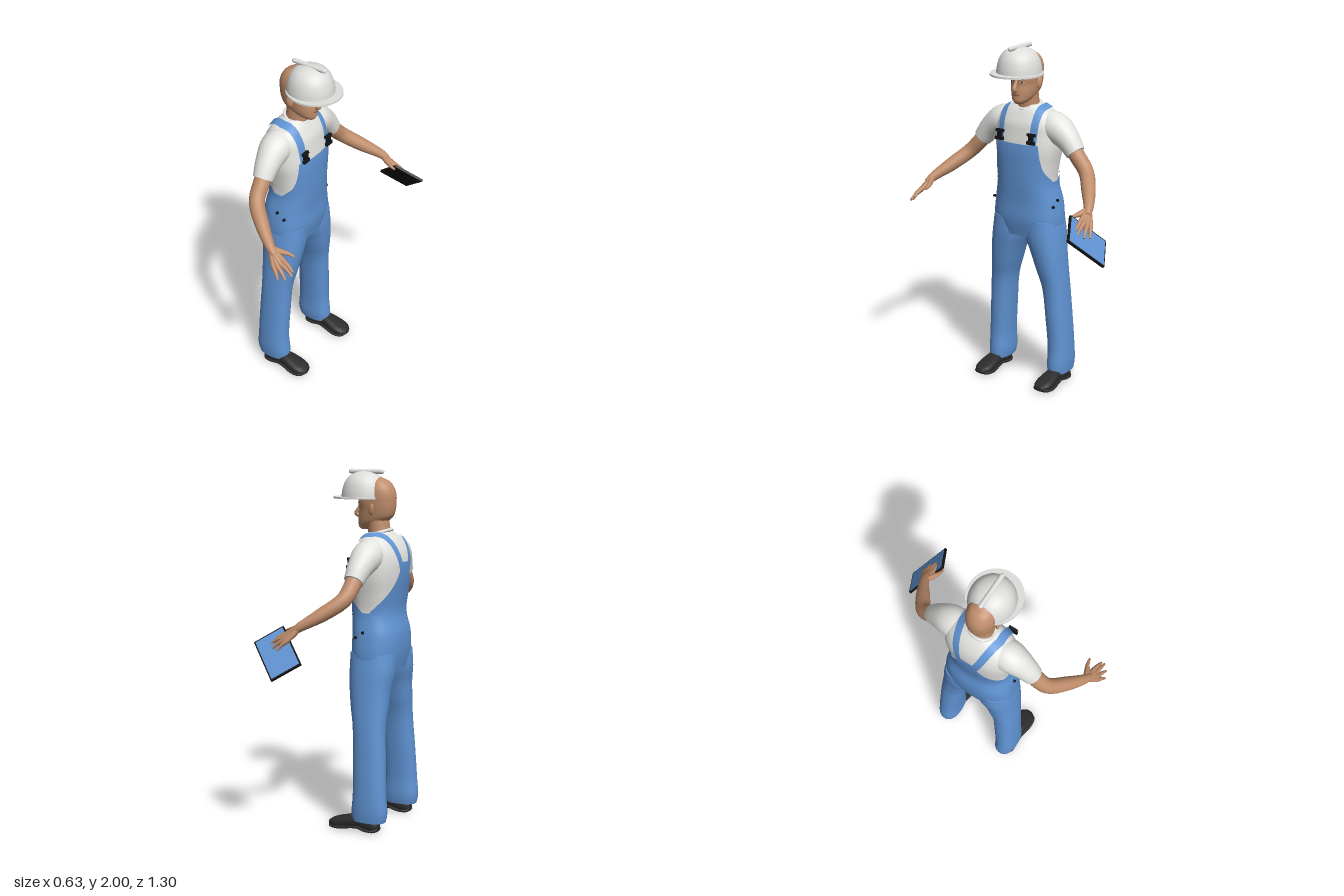
import * as THREE from 'three';

const mat = (name, color) => Object.assign(new THREE.MeshStandardMaterial({ color }), { name });
const V = (x, y, z) => new THREE.Vector3(x, y, z);

// Surface through rows of points; optional closed rings and flat end caps
function skin(rows, closed = true, caps = true) {
  const pos = [], idx = [], n = rows[0].length;
  rows.forEach(r => r.forEach(p => pos.push(p.x, p.y, p.z)));
  for (let i = 0; i < rows.length - 1; i++)
    for (let j = 0; j < (closed ? n : n - 1); j++) {
      const k = (j + 1) % n, a = i * n + j, b = i * n + k;
      idx.push(a, b, b + n, a, b + n, a + n);
    }
  if (closed && caps) [rows[0], rows[rows.length - 1]].forEach((r, e) => {
    const c = pos.length / 3, m = r.reduce((s, p) => s.add(p), V(0, 0, 0)).divideScalar(n);
    [m, ...r].forEach(p => pos.push(p.x, p.y, p.z));
    for (let j = 0; j < n; j++) {
      const a = c + 1 + j, b = c + 1 + (j + 1) % n;
      e ? idx.push(c, a, b) : idx.push(c, b, a);
    }
  });
  const g = new THREE.BufferGeometry();
  g.setAttribute('position', new THREE.Float32BufferAttribute(pos, 3));
  g.setIndex(idx);
  g.computeVertexNormals();
  return g;
}

// Superellipse corner value
const sup = (c, e) => Math.sign(c) * Math.abs(c) ** (2 / e);

// Smoothly resample a table whose first column ascends
function sample(rows, n, from = rows[0][0], to = rows[rows.length - 1][0]) {
  const w = rows[0].length - 1;
  const it = new THREE.CubicInterpolant(rows.map(r => r[0]), rows.flatMap(r => r.slice(1)), w, new Float32Array(w));
  return Array.from({ length: n + 1 }, (_, i) => {
    const t = from + (to - from) * i / n;
    return [t, ...it.evaluate(t)];
  });
}

// Upright body from rows [y, back x, front x, half width, centre z]
const upright = (rows, exp, off = 0, seg = 40) => skin(rows.map(([y, b, f, w, zc = 0]) =>
  Array.from({ length: seg }, (_, j) => {
    const a = j / seg * Math.PI * 2;
    return V((b + f) / 2 + sup(Math.sin(a), exp) * ((f - b) / 2 + off), y, zc + sup(Math.cos(a), exp) * (w + off));
  })));

// Round limb through points [x, y, z, radius]
function limb(pts, n = 16, seg = 18) {
  const curve = new THREE.CatmullRomCurve3(pts.map(p => V(p[0], p[1], p[2])));
  const radii = sample(pts.map((p, i) => [i, p[3]]), n);
  return skin(radii.map(([, r], i) => {
    const t = i / n, c = curve.getPoint(t), d = curve.getTangent(t);
    const u = V(1, 0, 0.3).cross(d).normalize(), v = d.clone().cross(u);
    return Array.from({ length: seg }, (_, j) => {
      const a = j / seg * Math.PI * 2;
      return c.clone().addScaledVector(u, Math.cos(a) * r).addScaledVector(v, Math.sin(a) * r);
    });
  }));
}

// Thin patch laid on a surface: aim(u, v) gives [target, outward direction]
function drape(targets, nu, nv, off, aim) {
  const ray = new THREE.Raycaster();
  return skin(Array.from({ length: nv + 1 }, (_, i) => Array.from({ length: nu + 1 }, (_, j) => {
    const [c, d] = aim(j / nu, i / nv);
    ray.set(c.clone().addScaledVector(d, 0.8), d.clone().negate());
    const hit = ray.intersectObjects(targets, false)[0];
    return (hit ? hit.point : c.clone()).addScaledVector(d, off);
  })), false);
}

export function createModel() {
  const root = new THREE.Group(), man = new THREE.Group();
  root.name = 'worker'; man.name = 'body'; man.position.z = 0.04;
  root.add(man);
  const M = {
    skin: mat('skin', 0xbf8d6b), shirt: mat('shirt white', 0xe4e4e1), blue: mat('denim blue', 0x6094d4),
    helmet: mat('helmet white', 0xdededc), shoe: mat('shoe black', 0x2c2c2c), black: mat('black', 0x141414),
    lip: mat('lips', 0x9a6350), eye: mat('eye white', 0xd8d2c8), brow: mat('brow brown', 0x4a3428),
  };
  M.helmet.side = THREE.DoubleSide;
  const add = (name, geo, m, parent = man) => {
    const o = new THREE.Mesh(geo, m);
    o.name = name;
    parent.add(o);
    return o;
  };

  // Torso: shirt above, overalls below
  const torso = [
    [0.9, -0.29, -0.06, 0.2], [1.0, -0.305, -0.042, 0.205], [1.1, -0.305, -0.042, 0.195], [1.22, -0.283, -0.035, 0.173],
    [1.32, -0.293, -0.032, 0.182], [1.42, -0.305, -0.032, 0.198], [1.5, -0.307, -0.042, 0.2], [1.56, -0.294, -0.052, 0.195],
    [1.6, -0.275, -0.07, 0.175], [1.63, -0.254, -0.085, 0.137], [1.66, -0.225, -0.11, 0.078]];
  const shirt = add('shirt', upright(sample(torso, 40, 1.15), 2.5), M.shirt);
  add('overallsWaist', upright(sample(torso, 24, 0.9, 1.225), 2.5, 0.007), M.blue);

  // Legs, shoes, sleeves, arms and hands on both sides
  const leg = [[0.06, 0.267, 0.15, -0.298, -0.1], [0.1, 0.272, 0.143, -0.307, -0.097], [0.2, 0.272, 0.143, -0.3, -0.105],
    [0.4, 0.262, 0.128, -0.29, -0.1], [0.6, 0.25, 0.105, -0.28, -0.09], [0.7, 0.24, 0.075, -0.285, -0.07],
    [0.8, 0.232, 0.043, -0.29, -0.055], [0.9, 0.222, 0.005, -0.305, -0.045], [1.0, 0.207, 0, -0.303, -0.045]];
  // Shoe rows: [x, half width, top, sole underside]
  const shoe = [[-0.262, 0.022, 0.05, 0.008], [-0.245, 0.04, 0.07, 0], [-0.2, 0.046, 0.085, 0], [-0.14, 0.044, 0.09, 0.012],
    [-0.09, 0.05, 0.084, 0.008], [-0.04, 0.057, 0.07, 0], [0, 0.055, 0.058, 0], [0.03, 0.04, 0.045, 0.004], [0.043, 0.015, 0.032, 0.012]];
  const wrist = [0.05, 1.185, 0.53];
  // Fingers: [knuckle, tip]
  const fingers = {
    indexFinger: [[0.135, 1.14, 0.535], [0.205, 1.1, 0.545]], middleFinger: [[0.13, 1.13, 0.552], [0.212, 1.087, 0.562]],
    ringFinger: [[0.12, 1.12, 0.567], [0.187, 1.068, 0.588]], littleFinger: [[0.105, 1.112, 0.578], [0.15, 1.06, 0.604]],
  };
  const sleeves = [];
  for (const s of [1, -1]) {
    const side = s > 0 ? 'right' : 'left';
    const flip = pts => pts.map(([x, y, z, r]) => [x, y, z * s, r]);
    add(side + 'TrouserLeg', upright(sample(leg, 36).map(([y, o, i, b, f]) =>
      [y, b, f, (o - i) / 2, s * (o + i) / 2]), 2.3, 0, 30), M.blue);
    const shoeRings = (rows, wide, bottom, top) => skin(rows.map(r => Array.from({ length: 24 }, (_, j) => {
      const a = j / 24 * Math.PI * 2, lo = bottom(r), hi = top(r);
      return V(r[0], (lo + hi) / 2 + sup(Math.cos(a), 2.6) * (hi - lo) / 2, s * 0.212 + sup(Math.sin(a), 2.6) * r[1] * wide);
    })));
    const rows = sample(shoe, 24);
    add(side + 'Shoe', shoeRings(rows, 0.95, r => r[3] + 0.006, r => r[2]), M.shoe);
    add(side + 'Sole', shoeRings(rows, 1.06, r => Math.max(r[3], 0), r => r[3] + 0.024), M.shoe);
    sleeves.push(add(side + 'Sleeve', limb(flip([[-0.175, 1.55, 0.1, 0.08], [-0.172, 1.535, 0.18, 0.087],
      [-0.165, 1.48, 0.26, 0.069], [-0.158, 1.415, 0.315, 0.055]]), 16, 24), M.shirt));
    add(side + 'Arm', limb(flip([[-0.165, 1.47, 0.265, 0.046], [-0.158, 1.4, 0.325, 0.046], [-0.14, 1.325, 0.395, 0.043],
      [-0.05, 1.25, 0.468, 0.039], [...wrist, 0.026], [0.085, 1.16, 0.542, 0.021]]), 24), M.skin);
    for (const [name, [k, t]] of Object.entries(fingers)) {
      const mid = k.map((c, i) => (c + t[i]) / 2 + (i === 1 ? 0.006 : 0));
      add(side + name, limb(flip([[...wrist, 0.018], [...k, 0.014], [...mid, 0.0105], [...t, 0.006]]), 12, 10), M.skin);
    }
    add(side + 'Thumb', limb(flip([[...wrist, 0.017], [0.1, 1.168, 0.51, 0.016], [0.135, 1.16, 0.493, 0.011],
      [0.172, 1.15, 0.485, 0.006]]), 12, 10), M.skin);
    // Hip buttons
    for (const [x, y] of [[-0.155, 1.12], [-0.11, 1.09]]) {
      const b = add(side + 'HipButton', new THREE.CylinderGeometry(0.008, 0.008, 0.012, 12), M.black);
      b.rotation.x = Math.PI / 2;
      b.position.set(x, y, s * 0.202);
    }
  }

  // Bib and back panel: rows [y, half angle]
  const panel = (name, rows, mid) => {
    const it = sample(rows, 16);
    add(name, drape([shirt], 24, 16, 0.009, (u, v) => {
      const [y, h] = it[Math.round(v * 16)], a = mid + (u * 2 - 1) * h;
      return [V(-0.165, y, 0), V(Math.sin(a), 0, Math.cos(a))];
    }), M.blue);
  };
  panel('bib', [[1.2, 1.6], [1.24, 1.36], [1.29, 1.08], [1.36, 0.93], [1.45, 0.86]], Math.PI / 2);
  panel('backPanel', [[1.2, 1.6], [1.24, 1.4], [1.3, 1.05], [1.38, 0.65], [1.45, 0.4], [1.5, 0.32]], -Math.PI / 2);

  // Shoulder straps with buckles
  for (const s of [1, -1]) {
    add('strap', drape([shirt, ...sleeves], 4, 36, 0.01, (u, v) => {
      const a = v * Math.PI, z = v < 0.5 ? 0.105 + 0.02 * v : 0.115 - 0.15 * (v - 0.5);
      return [V(-0.17, 1.45, s * z - (u - 0.5) * 0.042), V(Math.cos(a), Math.sin(a), 0)];
    }), M.blue);
    [[0.05, 0.014, 1.512], [0.026, 0.03, 1.492], [0.05, 0.018, 1.468]].forEach(([w, h, y], i) => {
      add('buckle', new THREE.BoxGeometry(0.016, h, w), M.black).position.set(-0.03 - i * -0.003, y, s * 0.105);
    });
  }

  // Neck, collar and head
  add('neck', limb([[-0.165, 1.59, 0, 0.072], [-0.158, 1.65, 0, 0.063], [-0.145, 1.74, 0, 0.062]], 10, 28), M.skin);
  const collar = add('collar', new THREE.TorusGeometry(0.069, 0.009, 10, 40).rotateX(Math.PI / 2), M.shirt);
  collar.position.set(-0.16, 1.652, 0);
  collar.rotation.z = -0.3;
  const head = add('head', upright(sample([[1.672, -0.1, -0.045, 0.024], [1.685, -0.14, -0.035, 0.042], [1.71, -0.192, -0.034, 0.06],
    [1.74, -0.232, -0.034, 0.07], [1.78, -0.248, -0.04, 0.077], [1.82, -0.252, -0.034, 0.082], [1.87, -0.25, -0.045, 0.082],
    [1.91, -0.234, -0.065, 0.072], [1.94, -0.205, -0.09, 0.052], [1.957, -0.165, -0.13, 0.02]], 36), 2.15), M.skin);
  add('nose', limb([[-0.045, 1.812, 0, 0.008], [-0.027, 1.78, 0, 0.011], [-0.015, 1.757, 0, 0.014], [-0.03, 1.745, 0, 0.012]], 12, 14), M.skin);

  // Face details, laid on the head
  const face = (name, m, y, z, w, h, tilt = 0, off = 0.003) => add(name, drape([head], 10, 4, off, (u, v) => {
    const p = u * 2 - 1, taper = Math.sqrt(1 - 0.95 * p * p);
    return [V(-0.15, y + (v - 0.5) * h * taper + tilt * p, z - p * w / 2), V(1, 0, 0)];
  }), m);
  face('mouth', M.lip, 1.724, 0, 0.046, 0.011);
  for (const s of [1, -1]) {
    face('eye', M.eye, 1.797, s * 0.034, 0.026, 0.01);
    face('pupil', M.black, 1.797, s * 0.034, 0.01, 0.01, 0, 0.005);
    face('eyebrow', M.brow, 1.816, s * 0.036, 0.036, 0.008, -s * 0.003);
    const ear = add('ear', new THREE.SphereGeometry(1, 18, 12), M.skin);
    ear.scale.set(0.019, 0.033, 0.01);
    ear.position.set(-0.145, 1.785, s * 0.083);
    ear.rotation.set(0, s * 0.35, 0.15);
  }

  // Hard hat: dome, brim ring and crown ridge
  const profile = new THREE.SplineCurve([[0.126, 0], [0.121, 0.04], [0.107, 0.085], [0.08, 0.12], [0.042, 0.139], [0, 0.146]]
    .map(p => new THREE.Vector2(...p)));
  const dome = add('helmetDome', new THREE.LatheGeometry(profile.getPoints(24), 48), M.helmet);
  dome.scale.x = 1.06;
  dome.position.set(-0.067, 1.845, 0);
  const brimShape = new THREE.Shape().absellipse(-0.043, 0, 0.155, 0.147, 0, Math.PI * 2);
  brimShape.holes.push(new THREE.Path().absellipse(-0.067, 0, 0.128, 0.119, 0, Math.PI * 2, true));
  add('helmetBrim', new THREE.ExtrudeGeometry(brimShape, { depth: 0.01, bevelEnabled: false, curveSegments: 48 })
    .rotateX(-Math.PI / 2), M.helmet).position.y = 1.84;
  const ridge = add('helmetRidge', new THREE.CapsuleGeometry(0.013, 0.19, 8, 16), M.helmet);
  ridge.rotation.z = Math.PI / 2;
  ridge.position.set(-0.075, 1.987, 0);

  // Tablet held in the hand, blue face outward
  const tablet = new THREE.Group();
  tablet.name = 'tablet';
  const across = V(0.14, -0.09, -0.075).normalize(), normal = across.clone().cross(V(0.18, 0.17, 0.115)).normalize();
  tablet.quaternion.setFromRotationMatrix(new THREE.Matrix4().makeBasis(across, normal.clone().cross(across), normal));
  tablet.position.set(0.157, 1.042, -0.547);
  add('tabletBody', new THREE.BoxGeometry(0.183, 0.273, 0.014), M.black, tablet);
  add('tabletScreen', new THREE.BoxGeometry(0.168, 0.258, 0.004), M.blue, tablet).position.z = -0.007;
  root.add(tablet);
  return root;
}
